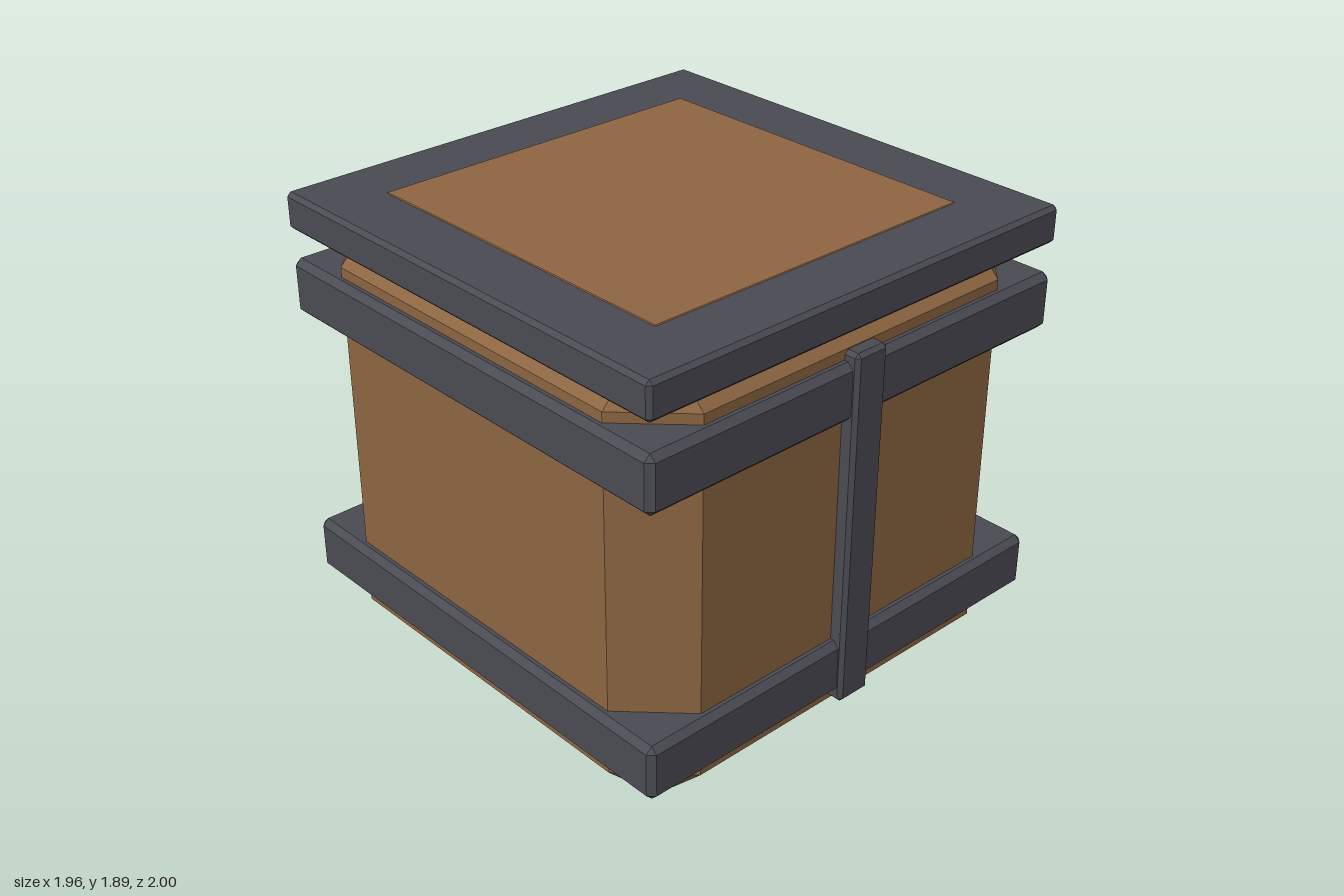
import * as THREE from 'three';
import { ConvexGeometry } from 'three/addons/geometries/ConvexGeometry.js';

const wood = new THREE.MeshStandardMaterial({ color: 0x8d6541 });
wood.name = 'brown wood';
const iron = new THREE.MeshStandardMaterial({ color: 0x4a4a53 });
iron.name = 'dark iron';

// Box with every edge bevelled flat: each corner becomes three points
function bevelledBox(name, material, w, h, d, bevel, x, y, z) {
  const points = [];
  for (const sx of [-1, 1]) for (const sy of [-1, 1]) for (const sz of [-1, 1]) {
    for (let axis = 0; axis < 3; axis++) {
      const half = [w / 2 - bevel, h / 2 - bevel, d / 2 - bevel];
      half[axis] += bevel;
      points.push(new THREE.Vector3(sx * half[0], sy * half[1], sz * half[2]));
    }
  }
  const mesh = new THREE.Mesh(new ConvexGeometry(points), material);
  mesh.name = name;
  mesh.position.set(x, y, z);
  return mesh;
}

export function createModel() {
  const crate = new THREE.Group();
  crate.name = 'crate';

  // Heavily bevelled body; its top shows as a panel in the lid frame
  crate.add(bevelledBox('body', wood, 1.88, 1.89, 1.88, 0.225, 0, 0.945, 0));

  // Lid frame and the two bands round the body
  crate.add(bevelledBox('lidFrame', iron, 1.96, 0.147, 1.96, 0.016, 0, 1.8135, 0));
  crate.add(bevelledBox('upperBand', iron, 1.96, 0.225, 1.96, 0.025, 0, 1.513, 0));
  crate.add(bevelledBox('lowerBand', iron, 1.96, 0.225, 1.96, 0.025, 0, 0.382, 0));

  // Upright straps on the front and back
  for (const side of [1, -1]) {
    const name = side > 0 ? 'frontStrap' : 'backStrap';
    crate.add(bevelledBox(name, iron, 0.15, 1.43, 0.1, 0.015, 0, 0.947, side * 0.95));
  }
  return crate;
}
